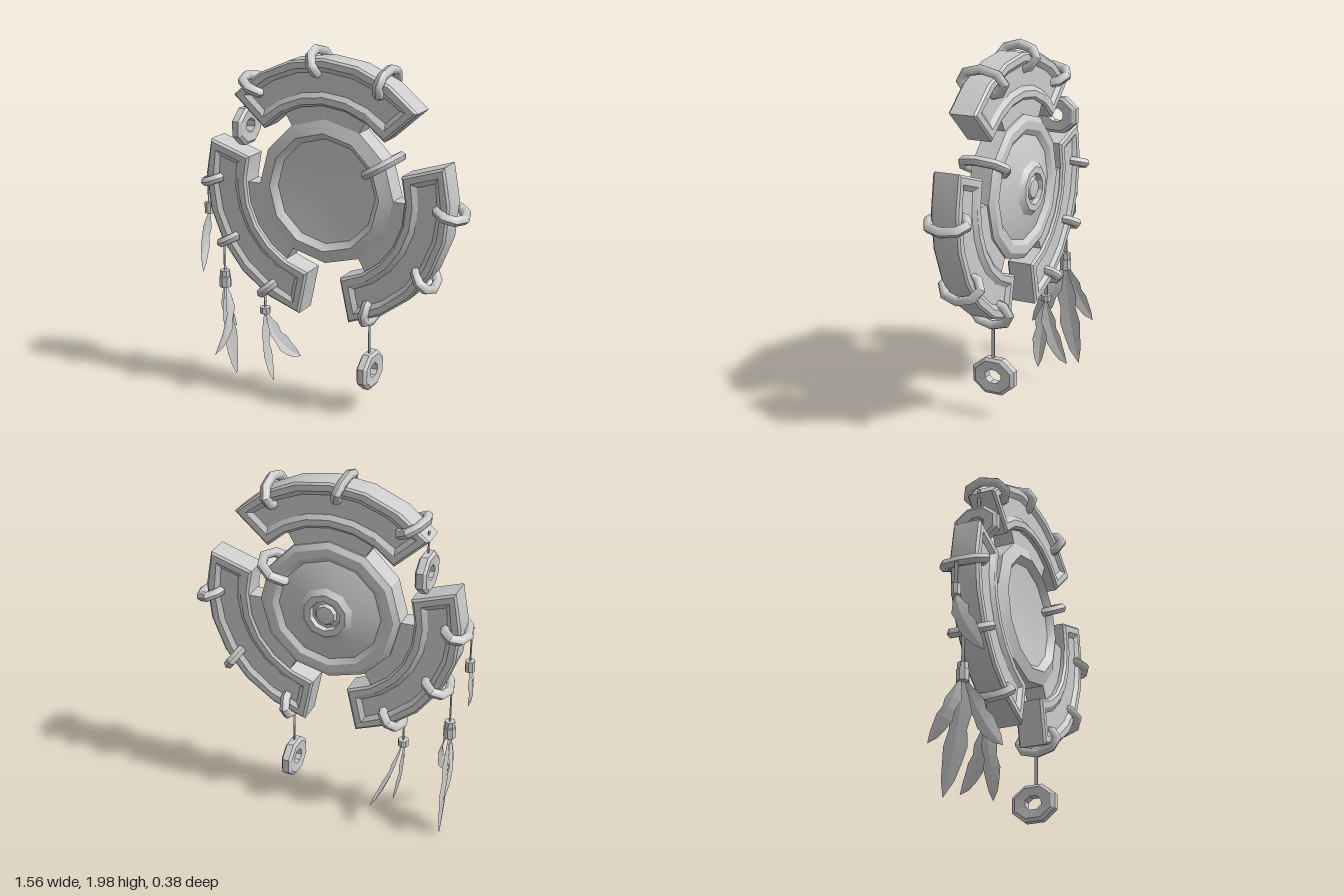
import * as THREE from 'three';
import { toCreasedNormals } from 'three/addons/utils/BufferGeometryUtils.js';

const CY = 1.23; // height of the disc centre
const mat = new THREE.MeshStandardMaterial({ color: 0xcccccc });
const flat = new THREE.MeshStandardMaterial({ color: 0xcccccc, flatShading: true });
const thin = new THREE.MeshStandardMaterial({ color: 0xcccccc, flatShading: true, side: THREE.DoubleSide });

function add(parent, name, geometry, material = mat) {
  const mesh = new THREE.Mesh(geometry, material);
  mesh.name = name;
  parent.add(mesh);
  return mesh;
}

// Ring-sector solid centred on +y, lofted through [inset, z] outlines from back to front
function sector(ri, ro, half, steps, levels) {
  const pos = [], idx = [], n = 2 * (steps + 1);
  for (const [d, z] of levels) {
    for (let i = 0; i < n; i++) {
      const outer = i <= steps;
      const r = outer ? ro - d : ri + d;
      const k = outer ? i : n - 1 - i;
      const a = Math.PI / 2 + (half - d / r) * (2 * k / steps - 1);
      pos.push(r * Math.cos(a), r * Math.sin(a), z);
    }
  }
  const quad = (a, b, c, d) => idx.push(a, b, c, a, c, d);
  for (let l = 0; l < levels.length - 1; l++) {
    for (let i = 0; i < n; i++) {
      const j = (i + 1) % n, a = l * n, b = a + n;
      quad(a + i, a + j, b + j, b + i);
    }
  }
  const top = (levels.length - 1) * n;
  for (let i = 0; i < steps; i++) {
    quad(top + n - 1 - i, top + i, top + i + 1, top + n - 2 - i);
    quad(n - 2 - i, i + 1, i, n - 1 - i);
  }
  const g = new THREE.BufferGeometry();
  g.setAttribute('position', new THREE.Float32BufferAttribute(pos, 3));
  g.setIndex(idx);
  return toCreasedNormals(g, 0.45);
}

// Lathe turned about the z axis; profile is [radius, z] from back to front
function turned(profile, sides) {
  const g = new THREE.LatheGeometry(profile.map(p => new THREE.Vector2(...p)), sides);
  g.rotateX(Math.PI / 2);
  return toCreasedNormals(g, 0.45);
}

// Folded, ragged feather blade, broad along z
function feather(base, mid, tip, width) {
  const curve = new THREE.QuadraticBezierCurve3(...[base, mid, tip].map(p => new THREE.Vector3(...p)));
  const widths = [0.12, 0.55, 0.95, 0.75, 1, 0.8, 0.55, 0];
  const pos = [], idx = [];
  widths.forEach((w, i) => {
    const t = i / (widths.length - 1);
    const p = curve.getPoint(t);
    const side = new THREE.Vector3(1, 0, 0).cross(curve.getTangent(t)).normalize();
    for (const s of [-1, 0, 1]) {
      const q = p.clone().addScaledVector(side, s * w * width);
      pos.push(q.x + Math.abs(s) * w * 0.012, q.y, q.z);
    }
    if (i) {
      for (const k of [0, 1]) {
        const b = i * 3 + k, a = b - 3;
        idx.push(a, a + 1, b + 1, a, b + 1, b);
      }
    }
  });
  const g = new THREE.BufferGeometry();
  g.setAttribute('position', new THREE.Float32BufferAttribute(pos, 3));
  g.setIndex(idx);
  g.computeVertexNormals();
  return g;
}

export function createModel() {
  const model = new THREE.Group();

  // Central dish and back hub
  const disc = new THREE.Group();
  disc.name = 'centralDisc';
  disc.position.y = CY;
  model.add(disc);
  add(disc, 'dish', turned([
    [0, -0.105], [0.15, -0.105], [0.285, -0.06], [0.315, -0.08], [0.36, -0.08], [0.39, -0.06],
    [0.39, 0.06], [0.32, 0.085], [0.285, 0.05], [0.15, 0.038], [0, 0.034]], 12));
  add(disc, 'backHub', turned([
    [0.075, -0.1], [0.085, -0.13], [0.12, -0.13], [0.155, -0.1], [0.155, -0.08]], 10));
  add(disc, 'backStud', turned([[0, -0.125], [0.05, -0.122], [0.065, -0.1]], 10));

  // Three framed arc plates and the webs joining them to the disc
  const plateGeo = sector(0.465, 0.71, THREE.MathUtils.degToRad(48), 6, [
    [0.07, -0.045], [0.045, -0.063], [0.012, -0.063], [0, -0.053],
    [0, 0.08], [0.012, 0.092], [0.045, 0.092], [0.07, 0.074]]);
  const webGeo = sector(0.35, 0.5, Math.PI / 6, 4, [[0, -0.05], [0, 0.06]]);
  for (let i = 0; i < 3; i++) {
    const arm = new THREE.Group();
    arm.name = 'arcPlate' + (i + 1);
    arm.position.y = CY;
    arm.rotation.z = i * Math.PI * 2 / 3;
    add(arm, 'plate', plateGeo);
    add(arm, 'web', webGeo);
    model.add(arm);
  }

  // Rings pierced through the rims: x, y, direction, half length, half depth
  const rings = [
    [-0.055, 1.905, 12, -33, 0.095, 0.135], [-0.425, 1.756, 34, -19, 0.105, 0.135],
    [0.325, 1.83, 8, 36, 0.098, 0.15], [0.31, 1.4, 40, 24, 0.125, 0.15],
    [0.69, 1.2, 36, -14, 0.102, 0.135], [0.56, 0.835, 22, -30, 0.1, 0.135],
    [0.248, 0.6, 5, 36, 0.098, 0.135], [-0.675, 1.22, 31, 11, 0.09, 0.14],
    [-0.585, 0.89, 32, 17, 0.098, 0.135], [-0.345, 0.645, 26, 23, 0.095, 0.135]];
  rings.forEach(([x, y, dx, dy, len, depth], i) => {
    const g = new THREE.TorusGeometry(0.1, 0.027, 6, 8);
    // Stretch the centre line while keeping the tube round
    const p = g.attributes.position;
    for (let k = 0; k < p.count; k++) {
      const a = Math.atan2(p.getY(k), p.getX(k));
      p.setX(k, p.getX(k) + (depth - 0.127) * Math.cos(a));
      p.setY(k, p.getY(k) + (len - 0.127) * Math.sin(a));
    }
    g.rotateY(Math.PI / 2);
    g.computeVertexNormals();
    const ring = add(model, 'ring' + (i + 1), g);
    ring.position.set(x, y, 0.005);
    ring.rotation.z = Math.atan2(dy, dx) - Math.PI / 2;
  });

  // Hanging cords: x, top, bottom
  for (const [x, top, bottom] of [[-0.507, 1.74, 1.58], [0.235, 0.53, 0.31],
    [-0.752, 1.2, 1.03], [-0.66, 0.86, 0.62], [-0.405, 0.61, 0.48]]) {
    add(model, 'cord', new THREE.BoxGeometry(0.005, top - bottom, 0.018))
      .position.set(x, (top + bottom) / 2, 0);
  }

  // Pierced octagonal beads
  for (const [x, y] of [[-0.507, 1.523], [0.235, 0.247]]) {
    const g = new THREE.LatheGeometry([
      [0.04, -0.025], [0.09, -0.03], [0.108, -0.018], [0.108, 0.018], [0.09, 0.03], [0.04, 0.025], [0.04, -0.025],
    ].map(p => new THREE.Vector2(...p)), 8, Math.PI / 8);
    g.rotateZ(Math.PI / 2);
    g.scale(1, 1, 1.22);
    add(model, 'bead', g, flat).position.set(x, y, -0.01);
  }

  // Feather bindings: x, centre height, radius, height
  for (const [x, y, r, h] of [[-0.752, 1.03, 0.026, 0.06], [-0.66, 0.66, 0.029, 0.035],
    [-0.66, 0.61, 0.034, 0.06], [-0.405, 0.483, 0.03, 0.035]]) {
    add(model, 'binding', new THREE.CylinderGeometry(r, r, h, 8), flat).position.set(x, y, 0);
  }

  // Feathers: base, bend, tip, half width
  const feathers = [
    [[-0.752, 1.01, 0], [-0.79, 0.85, 0.03], [-0.715, 0.7, 0.14], 0.05],
    [[-0.66, 0.59, 0], [-0.67, 0.3, -0.01], [-0.655, 0.01, -0.095], 0.065],
    [[-0.65, 0.59, 0.01], [-0.57, 0.4, 0.05], [-0.62, 0.24, 0.195], 0.05],
    [[-0.67, 0.59, -0.01], [-0.73, 0.4, -0.04], [-0.69, 0.28, -0.165], 0.05],
    [[-0.41, 0.47, 0], [-0.41, 0.25, 0.04], [-0.345, 0.075, 0.02], 0.045],
    [[-0.4, 0.47, 0], [-0.37, 0.26, -0.04], [-0.285, 0.155, -0.19], 0.05]];
  for (const f of feathers) add(model, 'feather', feather(...f), thin);

  return model;
}
